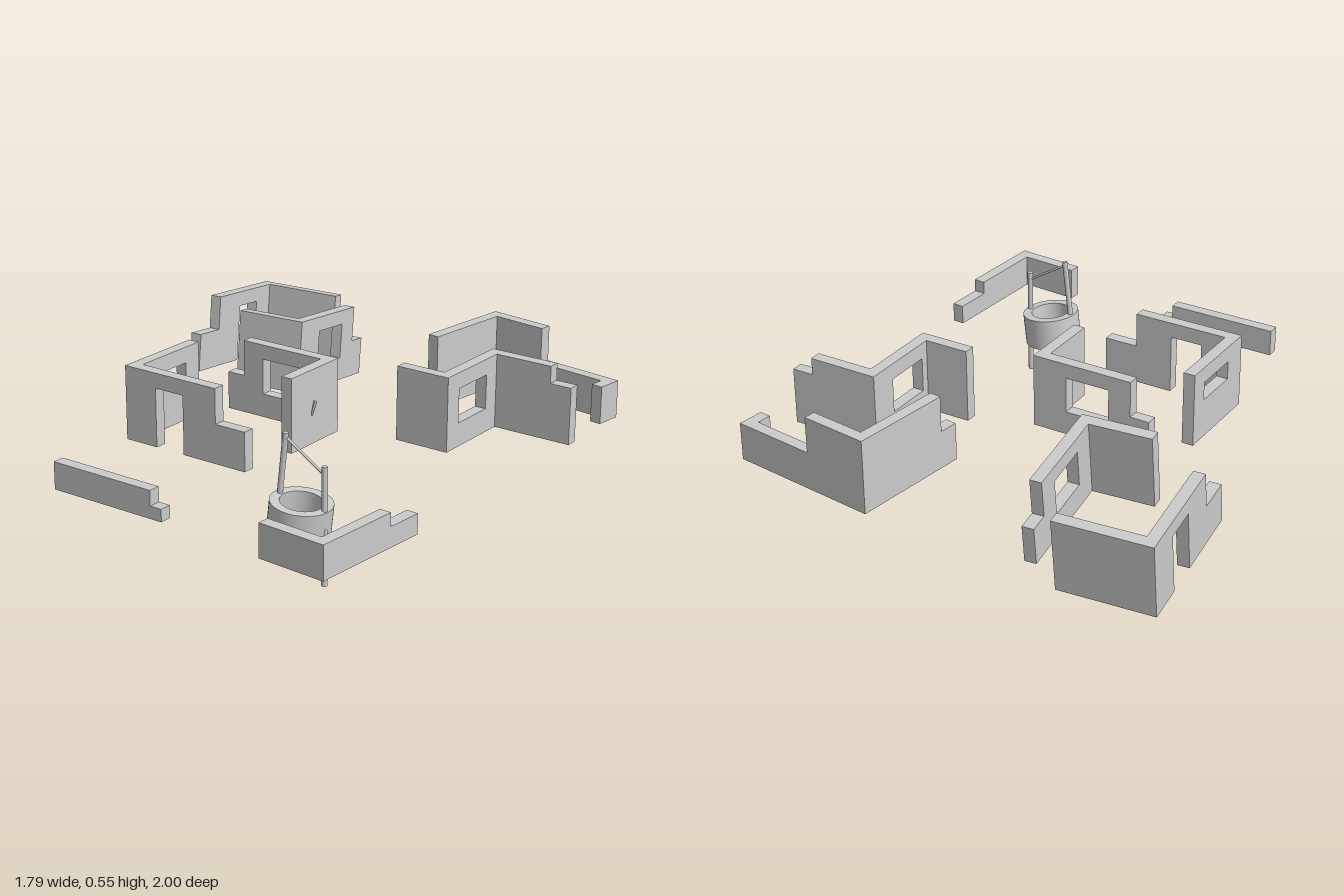
import * as THREE from 'three';

const T = 0.048; // wall thickness
const H = 0.302; // full wall height
const LOW = 0.155; // height of the broken wall ends
const deg = THREE.MathUtils.degToRad;
const mat = new THREE.MeshStandardMaterial({ color: 0xcccccc });

function group(name, parent, x = 0, y = 0, z = 0) {
  const g = new THREE.Group();
  g.name = name;
  g.position.set(x, y, z);
  parent.add(g);
  return g;
}

function mesh(name, parent, geometry) {
  const m = new THREE.Mesh(geometry, mat);
  m.name = name;
  parent.add(m);
  return m;
}

// Wall drawn as an elevation (u along, v up); hole is [u0, v0, u1, v1]
function wall(name, parent, points, x, z, yaw = 0, hole = null) {
  const shape = new THREE.Shape(points.map(p => new THREE.Vector2(...p)));
  if (hole) {
    const [a, b, c, d] = hole;
    shape.holes.push(new THREE.Path([[a, b], [a, d], [c, d], [c, b]].map(p => new THREE.Vector2(...p))));
  }
  const m = mesh(name, parent, new THREE.ExtrudeGeometry(shape, { depth: T, bevelEnabled: false }));
  m.position.set(x, 0, z);
  m.rotation.y = deg(yaw);
  return m;
}

const plain = (len, h = H) => [[0, 0], [len, 0], [len, h], [0, h]];
const stepped = (step, len, low, h = H) => [[0, 0], [len, 0], [len, low], [step, low], [step, h], [0, h]];

// Round bar between two points
function bar(name, parent, from, to, r0, r1 = r0) {
  const a = new THREE.Vector3(...from), b = new THREE.Vector3(...to);
  const dir = b.clone().sub(a);
  const m = mesh(name, parent, new THREE.CylinderGeometry(r1, r0, dir.length(), 12));
  m.position.copy(a).add(b).multiplyScalar(0.5);
  m.quaternion.setFromUnitVectors(new THREE.Vector3(0, 1, 0), dir.normalize());
  return m;
}

// Two opposite corners of a ruined house, centred on its own base
function ruinedHouse(parent, sideWindow) {
  const X = 0.3025, Z = 0.2775;
  const doorWall = [
    [0, 0], [0.15, 0], [0.15, 0.24], [0.283, 0.24], [0.283, 0], [0.578, 0],
    [0.578, 0.16], [0.44, 0.16], [0.44, H], [0, H],
  ];
  wall('doorWall', parent, doorWall, -X, Z - T);
  wall('sideWall', parent, plain(0.385 - T), -X + T, Z - 0.385, -90,
    sideWindow ? [0.08, 0.162, 0.275, 0.237] : null);
  wall('windowWall', parent, stepped(0.425, 0.505, LOW), X, -Z + T, 180, [0.145, 0.097, 0.33, 0.242]);
  wall('endWall', parent, plain(0.3 - T), X, -Z + T, -90);
}

export function createModel() {
  const root = new THREE.Group();
  root.name = 'ruinedVillage';

  // Upright house with a torch on its outer wall
  const house = group('uprightHouse', root, -0.2075, 0.238, 0.1475);
  ruinedHouse(house, true);
  bar('torch', house, [0.301, 0.115, -0.108], [0.318, 0.178, -0.108], 0.004, 0.007);

  // Same house turned a quarter and sunk at the back
  const sunken = group('sunkenHouse', root, -0.592, 0.2, -0.66);
  sunken.rotation.set(deg(-6.6), deg(5), 0, 'YXZ');
  const turned = group('sunkenHouseWalls', sunken);
  turned.rotation.y = deg(-90);
  ruinedHouse(turned, false);

  // Rear corner with broken ends
  const rear = group('rearCorner', root, 0.27, 0.238, -1.0);
  rear.rotation.y = deg(-7.5);
  wall('rearWall', rear, stepped(0.28, 0.63, LOW), 0, 0);
  wall('rearSideWall', rear, stepped(0.42 - T, 0.5 - T, LOW), T, T, -90);
  wall('rearStub', rear, plain(0.06, LOW), 0.63, T, -90);

  // Zigzag wall with a window
  const zigzag = group('zigzagWall', root, 0, 0.238, 0);
  wall('frontStub', zigzag, plain(0.232), 0.33, -0.238);
  wall('middleWall', zigzag, plain(0.299), 0.562, -0.537, -90, [0.072, 0.097, 0.267, 0.237]);
  wall('backWall', zigzag, stepped(0.29, 0.381, 0.232), 0.514, -0.585);

  // Low garden walls
  const garden = group('gardenWalls', root, 0, 0.22, 0);
  wall('straightGardenWall', garden, stepped(0.46, 0.51, 0.05, 0.11), -0.417, 0.889);
  const corner = group('cornerGardenWall', garden, 0.843, 0, 0.995);
  corner.rotation.y = deg(-4);
  wall('gardenFront', corner, plain(0.287, 0.133), -0.287, -T);
  wall('gardenSide', corner, stepped(0.36 - T, 0.512 - T, 0.08, 0.133), -T, -T, 90);

  // Collapsed well: leaning drum and post, one upright post, slanted crossbar
  const well = group('well', root, 0.482, 0.235, 0.638);
  const leaning = group('leaningWell', well);
  leaning.rotation.z = deg(-6.5);
  const profile = [
    [0, -0.065], [0.116, -0.065], [0.116, 0.065], [0.08, 0.065], [0.08, -0.04], [0, -0.04],
  ];
  // each profile segment is its own lathe so the rims stay sharp
  for (let i = 0; i + 1 < profile.length; i++) {
    const pair = [profile[i], profile[i + 1]].map(p => new THREE.Vector2(...p));
    mesh('drum', leaning, new THREE.LatheGeometry(pair, 40));
  }
  bar('leaningPost', leaning, [-0.097, -0.15, 0], [-0.097, 0.3, 0], 0.011);
  bar('uprightPost', well, [0.107, -0.235, 0], [0.107, 0.22, 0], 0.011);
  bar('crossbar', well, [-0.062, 0.292, 0], [0.107, 0.188, 0], 0.005);

  return root;
}
